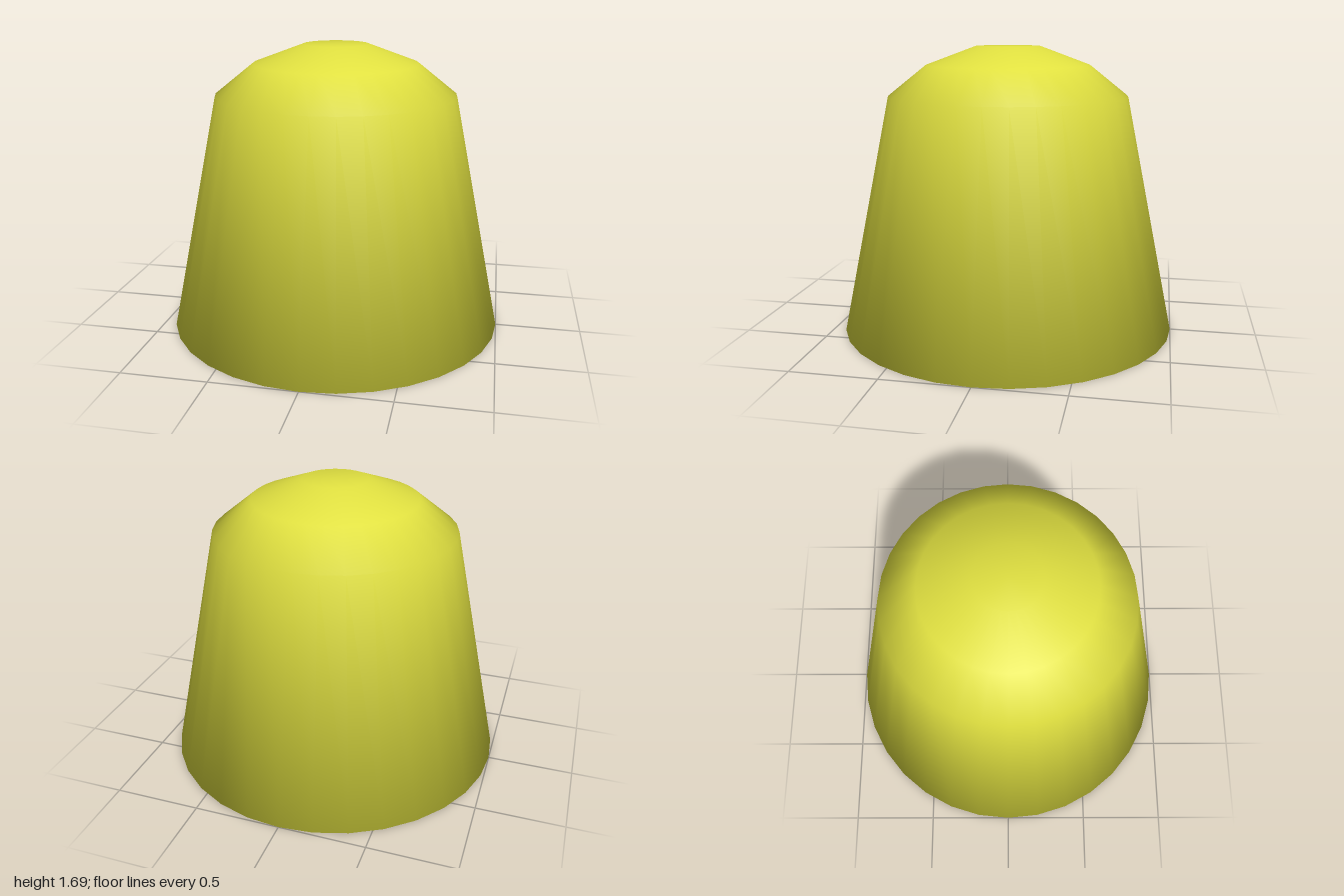
import * as THREE from 'three';

const SIDES = 32;

export function createModel() {
  const group = new THREE.Group();
  group.name = 'domedThimble';

  // Half section, from the centre of the base up to the flat crown
  const profile = [
    [0, 0], [1, 0],          // base and tapered wall
    [0.71, 1.4],             // shoulder
    [0.485, 1.58], [0.19, 1.69], // dome
    [0, 1.69],               // crown
  ].map(([r, y]) => new THREE.Vector2(r, y));

  const geometry = new THREE.LatheGeometry(profile, SIDES);

  // Match the base centre's normal length to the rim's, so the base shades as one smooth face
  const normal = geometry.attributes.normal;
  const rimY = normal.getY(1);
  for (let i = 0; i < normal.count; i += profile.length) normal.setXYZ(i, 0, rimY, 0);

  const body = new THREE.Mesh(
    geometry,
    new THREE.MeshStandardMaterial({ color: 0xe0e040 })
  );
  body.name = 'body';
  group.add(body);
  return group;
}
